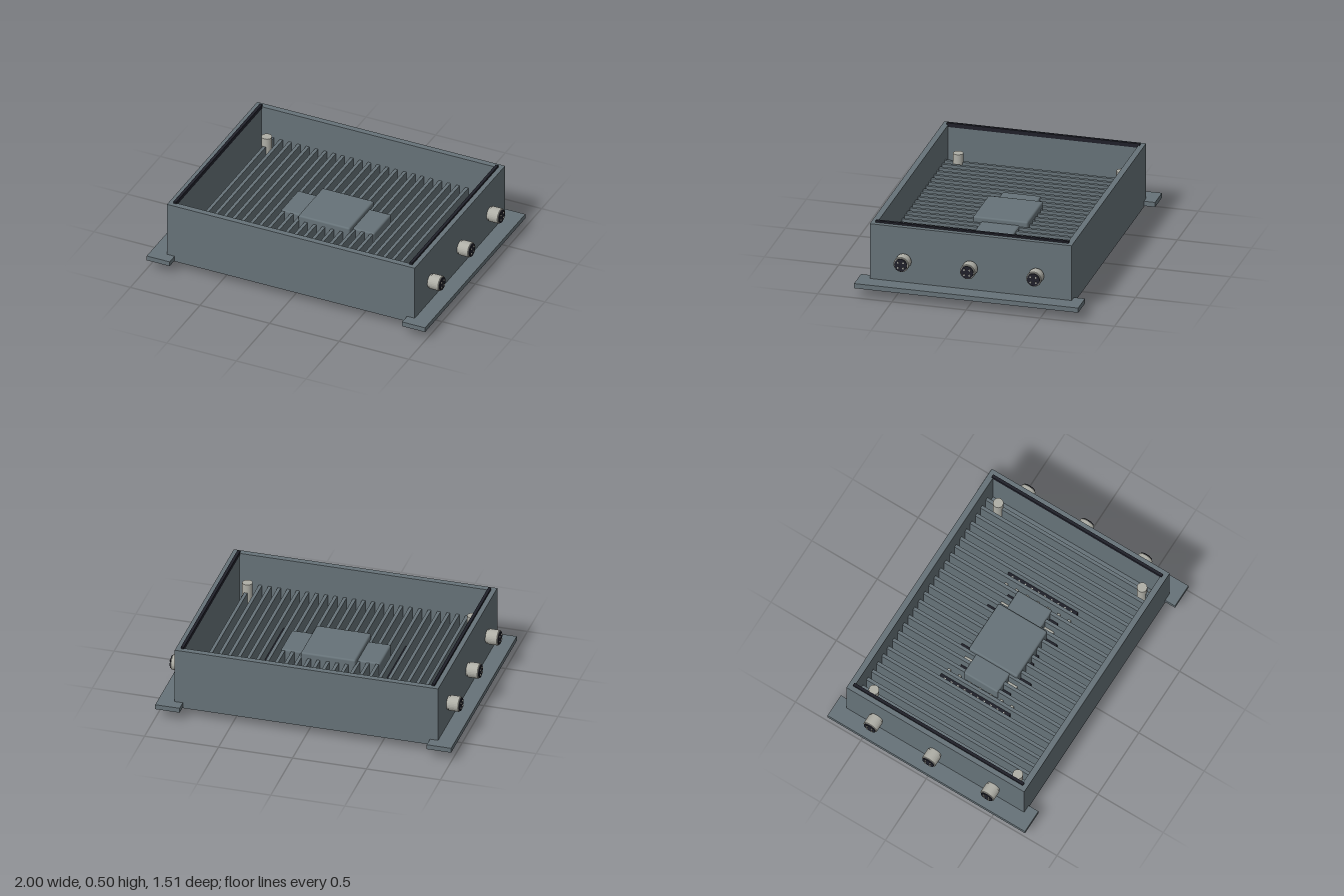
import * as THREE from 'three';
import { RoundedBoxGeometry } from 'three/addons/geometries/RoundedBoxGeometry.js';

export function createModel() {
  const mat = (name, color) => {
    const m = new THREE.MeshStandardMaterial({ color });
    m.name = name;
    return m;
  };
  const grey = mat('slate grey', 0x667278);
  const silver = mat('silver', 0xaeaea6);
  const black = mat('black', 0x1f2029);

  const root = new THREE.Group();
  root.name = 'electronicsEnclosure';

  const add = (name, geo, material, x = 0, y = 0, z = 0, parent = root) => {
    const m = new THREE.Mesh(geo, material);
    m.name = name;
    m.position.set(x, y, z);
    parent.add(m);
    return m;
  };
  // Box given by its ranges on each axis
  const box = (name, material, [x0, x1], [y0, y1], [z0, z1], parent = root) =>
    add(name, new THREE.BoxGeometry(x1 - x0, y1 - y0, z1 - z0), material,
      (x0 + x1) / 2, (y0 + y1) / 2, (z0 + z1) / 2, parent);
  const rounded = (name, material, w, d, y0, y1) =>
    add(name, new RoundedBoxGeometry(w, y1 - y0, d, 2, 0.012), material, 0, (y0 + y1) / 2, 0);

  // Open case: a ring of walls plus a floor
  const rect = (P, w, d) => {
    const p = new P();
    p.moveTo(-w, -d); p.lineTo(w, -d); p.lineTo(w, d); p.lineTo(-w, d); p.closePath();
    return p;
  };
  const ring = rect(THREE.Shape, 0.89, 0.68);
  ring.holes.push(rect(THREE.Path, 0.84, 0.64));
  const walls = new THREE.ExtrudeGeometry(ring, { depth: 0.425, bevelEnabled: false });
  walls.rotateX(-Math.PI / 2);
  add('caseWalls', walls, grey, 0, 0.06, 0);
  box('caseFloor', grey, [-0.84, 0.84], [0.055, 0.13], [-0.64, 0.64]);

  // Cooling fins along z
  const pitch = 0.0635;
  const fins = new THREE.Group();
  fins.name = 'coolingFins';
  root.add(fins);
  for (let i = -12; i <= 12; i++) {
    const x = i * pitch;
    box('fin', grey, [x - 0.011, x + 0.011], [0.13, 0.27], [-0.64, 0.64], fins);
  }

  // Stepped core block above the fins
  rounded('coreSidePlates', grey, 0.67, 0.26, 0.15, 0.278);
  rounded('coreBlock', grey, 0.37, 0.37, 0.15, 0.308);

  // Stepped contact plates below the floor
  box('contactGasket', black, [-0.18, 0.18], [0.045, 0.056], [-0.185, 0.185]);
  box('contactSidePlates', silver, [-0.385, 0.385], [0.02, 0.05], [-0.155, 0.155]);
  box('contactPlate', silver, [-0.235, 0.235], [0, 0.032], [-0.21, 0.21]);

  for (const s of [-1, 1]) {
    const side = new THREE.Group();
    side.name = s > 0 ? 'leftSide' : 'rightSide';
    root.add(side);
    const span = (a, b) => (s > 0 ? [a, b] : [-b, -a]);

    // Mounting flange and seal on the rim
    box('mountingFlange', grey, span(0.835, 1), [0.067, 0.1], [-0.755, 0.755], side);
    box('rimSeal', black, span(0.838, 0.858), [0.47, 0.498], [-0.65, 0.65], side);

    // Round connectors
    for (const z of [-0.447, 0, 0.447]) {
      const plug = new THREE.Group();
      plug.name = 'connector';
      plug.position.set(s * 0.885, 0.255, z);
      plug.rotation.z = -s * Math.PI / 2;
      side.add(plug);
      const sleeve = new THREE.LatheGeometry([
        [0.045, 0], [0.045, 0.018], [0.051, 0.018], [0.051, 0.084], [0.048, 0.088], [0.042, 0.088], [0.042, 0.06],
      ].map(([r, y]) => new THREE.Vector2(r, y)), 28);
      add('connectorSleeve', sleeve.toNonIndexed(), silver, 0, 0, 0, plug).geometry.computeVertexNormals();
      add('connectorInsert', new THREE.CylinderGeometry(0.043, 0.043, 0.05, 24), black, 0, 0.07, 0, plug);
      for (const a of [-1, 1]) for (const b of [-1, 1]) {
        add('connectorPin', new THREE.CylinderGeometry(0.006, 0.006, 0.01, 8), silver,
          a * 0.018, 0.096, b * 0.018, plug);
      }
    }

    // Header strip with pins, in a gap between fins
    const stripX = 6.5 * pitch * s;
    box('headerStrip', black, [stripX - 0.021, stripX + 0.021], [0.13, 0.2], [-0.265, 0.265], side);
    for (let i = 0; i < 10; i++) {
      const z = -0.225 + i * 0.05;
      box('headerPin', silver, [stripX - 0.006, stripX + 0.006], [0.2, 0.204], [z - 0.006, z + 0.006], side);
    }
    // Row of solder tabs
    const tabX = 5.5 * pitch * s;
    for (let i = -3; i <= 3; i++) {
      box('solderTab', silver, [tabX - 0.02, tabX + 0.02], [0.13, 0.17], [i * 0.08 - 0.01, i * 0.08 + 0.01], side);
    }

    for (const t of [-1, 1]) {
      const part = (name, material, gap, z0, z1) => {
        const x = gap * pitch * s;
        box(name, material, [x - 0.02, x + 0.02], [0.13, 0.18], t > 0 ? [z0, z1] : [-z1, -z0], side);
      };
      // Small components around the core
      part('capacitor', black, 2.5, 0.17, 0.265);
      part('resistor', silver, 3.5, 0.11, 0.2);
      part('inductor', black, 4.5, 0.11, 0.19);
      part('chipEdge', black, 0.5, 0.17, 0.205);

      // Corner standoff and screw
      add('standoff', new THREE.CylinderGeometry(0.034, 0.034, 0.2, 24), silver, s * 0.76, 0.23, t * 0.55, side);
      add('cornerScrew', new THREE.CylinderGeometry(0.018, 0.018, 0.06, 16), silver, s * 0.797, 0.16, t * 0.593, side);
      box('screwSlot', black, span(0.78, 0.814), [0.185, 0.193], [t * 0.593 - 0.003, t * 0.593 + 0.003], side);
    }
  }
  return root;
}
